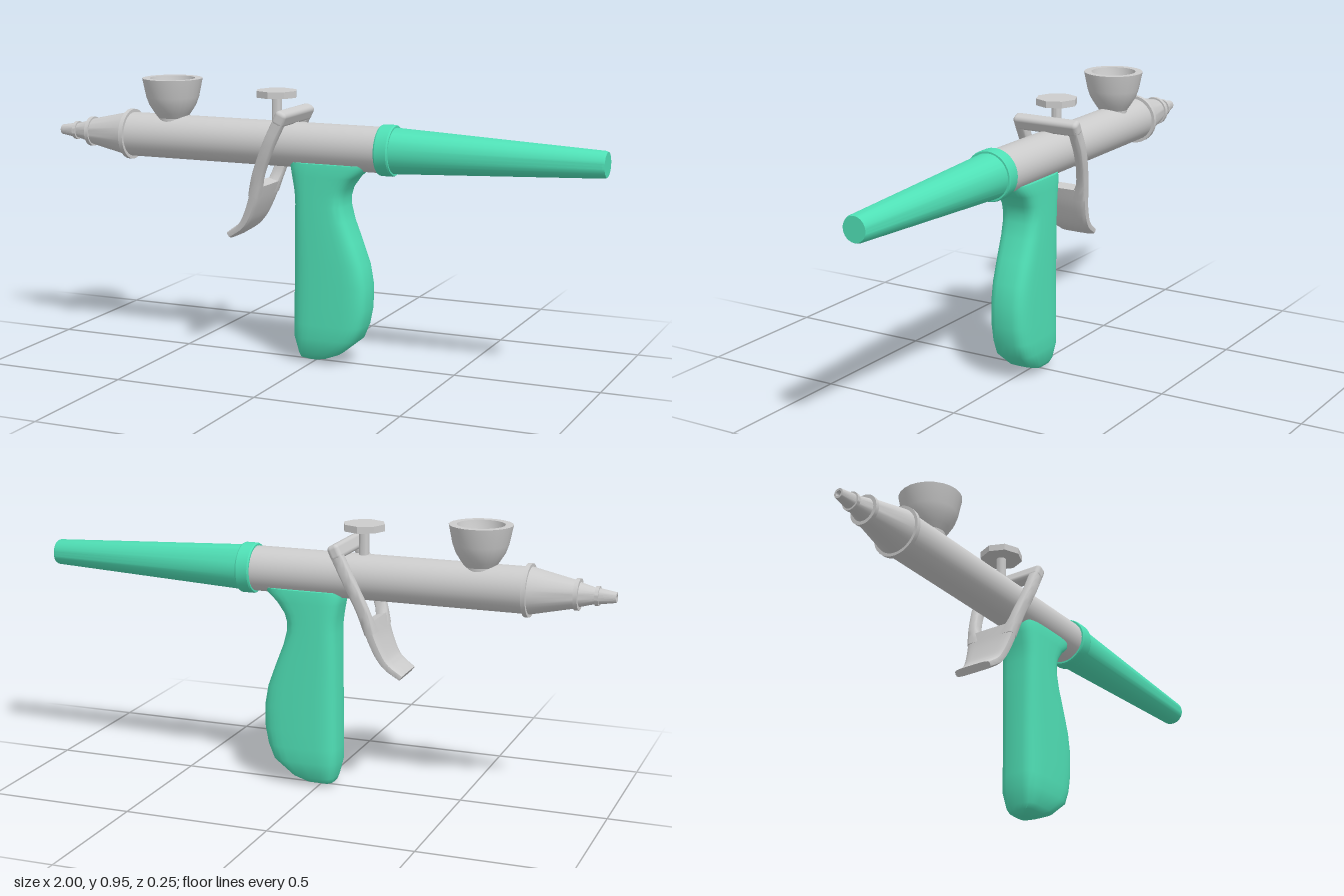
import * as THREE from 'three';
import { toCreasedNormals } from 'three/addons/utils/BufferGeometryUtils.js';
import { RoundedBoxGeometry } from 'three/addons/geometries/RoundedBoxGeometry.js';

const AXIS_Y = 0.747;
const grey = new THREE.MeshStandardMaterial({ color: 0xcccccc });
const green = new THREE.MeshStandardMaterial({ color: 0x4fdfb5 });

function part(name, geometry, material = grey) {
  const mesh = new THREE.Mesh(geometry, material);
  mesh.name = name;
  return mesh;
}

// Turned part: profile of [radius, height]
function turned(profile, sides = 32, crease = 0.5) {
  const pts = profile.map(([r, h]) => new THREE.Vector2(r, h));
  return toCreasedNormals(new THREE.LatheGeometry(pts, sides), crease);
}

// Turned part lying along x at barrel height
const turnedX = (profile) => turned(profile).rotateZ(-Math.PI / 2).translate(0, AXIS_Y, 0);

// Closed skin through rings of equal point count, with capped ends
function loft(rings, crease = 0.8) {
  const n = rings[0].length, pos = [], index = [];
  rings.forEach((ring) => ring.forEach((p) => pos.push(p.x, p.y, p.z)));
  for (let i = 0; i < rings.length - 1; i++) {
    for (let j = 0; j < n; j++) {
      const a = i * n + j, b = i * n + (j + 1) % n;
      index.push(a, b, b + n, a, b + n, a + n);
    }
  }
  [0, rings.length - 1].forEach((r, end) => {
    const c = new THREE.Vector3();
    rings[r].forEach((p) => c.addScaledVector(p, 1 / n));
    const centre = pos.length / 3;
    pos.push(c.x, c.y, c.z);
    for (let j = 0; j < n; j++) {
      const a = r * n + j, b = r * n + (j + 1) % n;
      if (end) index.push(centre, a, b);
      else index.push(centre, b, a);
    }
  });
  const g = new THREE.BufferGeometry();
  g.setAttribute('position', new THREE.Float32BufferAttribute(pos, 3));
  g.setIndex(index);
  return toCreasedNormals(g, crease);
}

// Rounded-rectangle section in units of -1..1
function section(count, power) {
  return Array.from({ length: count }, (_, j) => {
    const t = (j / count) * Math.PI * 2, c = Math.cos(t), s = Math.sin(t);
    return [Math.sign(c) * Math.abs(c) ** power, Math.sign(s) * Math.abs(s) ** power];
  });
}

// Linear lookup in rows of [key, value], keys falling
function lookup(rows, key) {
  for (let i = 0; i < rows.length - 1; i++) {
    const [k0, v0] = rows[i], [k1, v1] = rows[i + 1];
    if (key >= k1) return v0 + (v1 - v0) * Math.min(1, (k0 - key) / (k0 - k1));
  }
  return rows[rows.length - 1][1];
}

// Grip lofted upward from rows of [y, front x, back x, half width]
function gripGeometry() {
  const rows = [
    [0.003, -0.025, 0.005, 0.008], [0.017, -0.05, 0.05, 0.045], [0.035, -0.056, 0.095, 0.058],
    [0.09, -0.07, 0.163, 0.071], [0.14, -0.07, 0.184, 0.072], [0.2, -0.07, 0.196, 0.072],
    [0.28, -0.069, 0.197, 0.072], [0.35, -0.068, 0.184, 0.072], [0.43, -0.067, 0.154, 0.072],
    [0.5, -0.066, 0.126, 0.072], [0.55, -0.065, 0.113, 0.072], [0.58, -0.066, 0.113, 0.072],
    [0.61, -0.07, 0.122, 0.072], [0.65, -0.078, 0.152, 0.072], [0.68, -0.084, 0.186, 0.072],
    [0.695, -0.082, 0.19, 0.07],
  ];
  const shape = section(32, 0.5);
  return loft(rows.map(([y, x0, x1, hz]) => shape.map(([c, s]) =>
    new THREE.Vector3((x0 + x1) / 2 + s * (x1 - x0) / 2, y, c * hz))));
}

// Trigger: crossbar above the barrel, two arms around it, paddle below
function createTrigger() {
  const trigger = new THREE.Group();
  trigger.name = 'trigger';
  const path = new THREE.CatmullRomCurve3([
    [-0.083, 0.855], [-0.13, 0.76], [-0.178, 0.65], [-0.212, 0.54], [-0.25, 0.468], [-0.305, 0.427],
  ].map(([x, y]) => new THREE.Vector3(x, y, 0)));
  const outer = [[0.9, 0.124], [0.77, 0.123], [0.72, 0.117], [0.66, 0.106], [0.58, 0.094], [0.42, 0.069]];
  const inner = [[0.9, 0.086], [0.76, 0.086], [0.7, 0.08], [0.63, 0.066], [0.57, 0.03]];
  const thick = [[0.9, 0.02], [0.6, 0.02], [0.5, 0.018], [0.42, 0.013]];
  const shape = section(20, 0.45);

  // Strip along the path; edges(y) gives its two z limits
  const strip = (t0, t1, steps, edges) => {
    const rings = [];
    for (let i = 0; i <= steps; i++) {
      const t = t0 + (t1 - t0) * i / steps;
      const p = path.getPoint(t), d = path.getTangent(t), [z0, z1] = edges(p.y), h = lookup(thick, p.y);
      rings.push(shape.map(([c, s]) => new THREE.Vector3(
        p.x + d.y * s * h, p.y - d.x * s * h, (z0 + z1) / 2 + c * (z1 - z0) / 2)));
    }
    return loft(rings);
  };

  const bar = part('triggerCrossbar', new RoundedBoxGeometry(0.042, 0.052, 0.25, 3, 0.014));
  bar.position.set(-0.088, 0.846, 0);
  bar.rotation.z = -0.44;
  trigger.add(bar);
  trigger.add(part('leftTriggerArm', strip(0.02, 0.54, 14, (y) => [lookup(inner, y), lookup(outer, y)])));
  trigger.add(part('rightTriggerArm', strip(0.02, 0.54, 14, (y) => [-lookup(outer, y), -lookup(inner, y)])));
  trigger.add(part('triggerPaddle', strip(0.47, 1, 16, (y) => [-lookup(outer, y), lookup(outer, y)])));
  return trigger;
}

export function createModel() {
  const model = new THREE.Group();
  model.name = 'airbrush';

  // Barrel with front ring
  model.add(part('barrel', turnedX([
    [0, -0.722], [0.088, -0.722], [0.088, -0.707], [0.077, -0.707], [0.077, 0.24], [0, 0.24],
  ])));

  // Stepped nozzle with an open tip
  model.add(part('nozzle', turnedX([
    [0, -0.96], [0.01, -0.96], [0.01, -1], [0.017, -1], [0.026, -0.945], [0.032, -0.945],
    [0.032, -0.933], [0.026, -0.933], [0.04, -0.882], [0.052, -0.882], [0.052, -0.868],
    [0.046, -0.868], [0.078, -0.72], [0, -0.72],
  ])));

  // Tapered tail with collar
  model.add(part('tailHandle', turnedX([
    [0, 0.235], [0.083, 0.235], [0.086, 0.24], [0.086, 0.28], [0.083, 0.285], [0.077, 0.285],
    [0.044, 0.993], [0.041, 1], [0, 1],
  ]), green));

  // Paint cup
  const cup = part('paintCup', turned([
    [0, 0.79], [0.05, 0.79], [0.052, 0.815], [0.065, 0.833], [0.082, 0.86], [0.092, 0.888],
    [0.105, 0.952], [0.079, 0.952], [0.07, 0.91], [0.058, 0.885], [0.041, 0.87], [0, 0.87],
  ], 24));
  cup.position.x = -0.55;
  model.add(cup);

  // Push button on its stem
  const button = new THREE.Group();
  button.name = 'button';
  button.position.x = -0.15;
  button.add(part('buttonStem', toCreasedNormals(
    new THREE.CylinderGeometry(0.017, 0.017, 0.12, 16).translate(0, 0.85, 0), 0.6)));
  button.add(part('buttonCap', toCreasedNormals(
    new THREE.CylinderGeometry(0.072, 0.072, 0.023, 8).translate(0, 0.917, 0), 0.3)));
  model.add(button);

  model.add(createTrigger());
  model.add(part('grip', gripGeometry(), green));
  return model;
}
